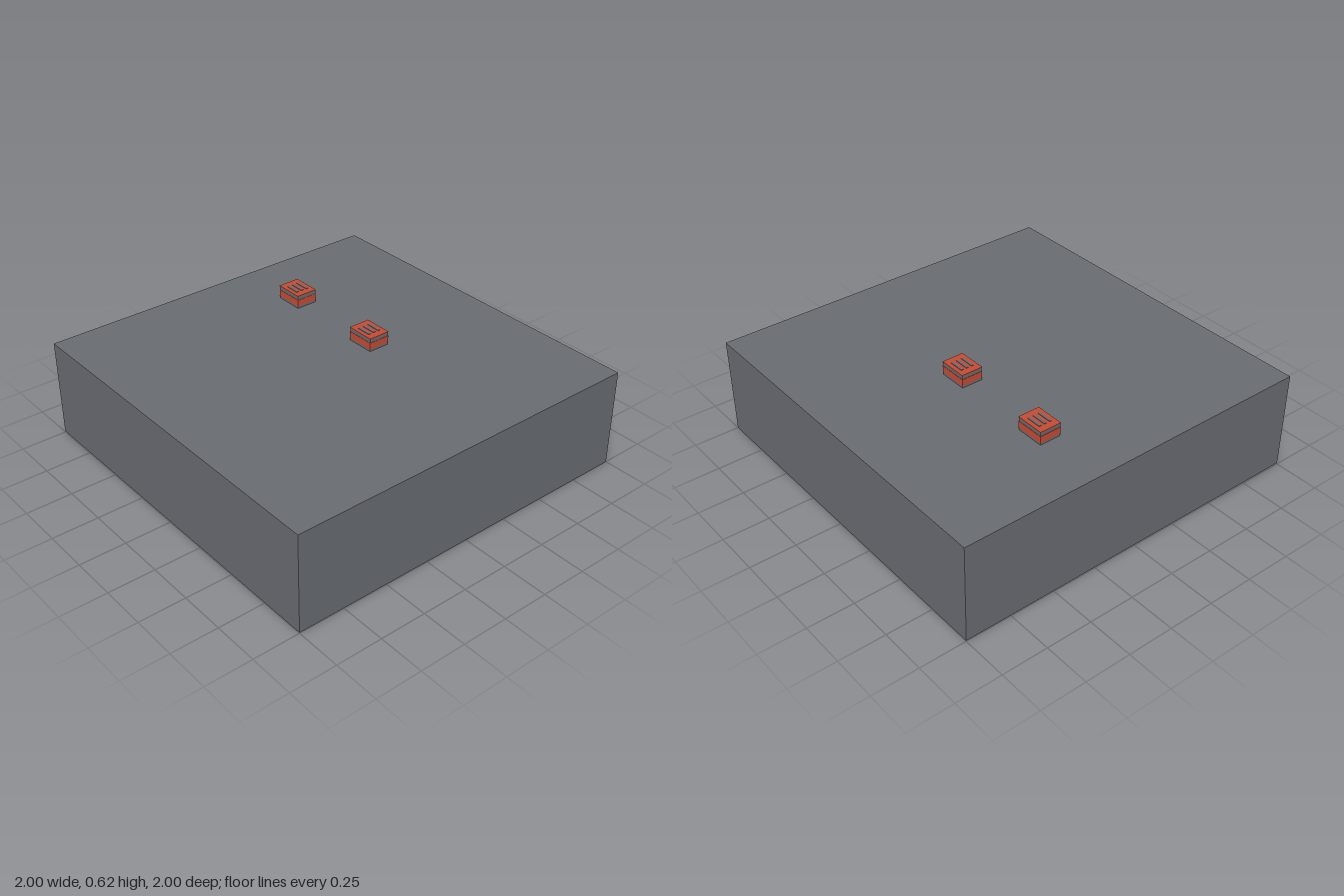
import * as THREE from 'three';

const grey = new THREE.MeshStandardMaterial({ color: 0x686b71, side: THREE.DoubleSide });
grey.name = 'slate grey';
const red = new THREE.MeshStandardMaterial({ color: 0xc44b34 });
red.name = 'brick red';

function box(name, material, w, h, d, x, y, z) {
  const mesh = new THREE.Mesh(new THREE.BoxGeometry(w, h, d), material);
  mesh.name = name;
  mesh.position.set(x, y, z);
  return mesh;
}

// Open-bottomed shell: the box without its lower face, tilted very slightly
function createSlab() {
  const geometry = new THREE.BoxGeometry(2, 0.535, 2).toNonIndexed();
  const open = new THREE.BufferGeometry();
  for (const key of ['position', 'normal']) {
    const a = geometry.attributes[key].array;
    // Each side has six corners; the fourth side is the bottom
    const kept = [...a.slice(0, 54), ...a.slice(72)];
    open.setAttribute(key, new THREE.Float32BufferAttribute(kept, 3));
  }
  const p = open.attributes.position;
  for (let i = 0; i < p.count; i++) {
    const tilt = 0.0015 * (2 - p.getX(i) - p.getZ(i));
    p.setY(i, p.getY(i) + 0.2675 + tilt);
  }
  open.computeVertexNormals();
  const mesh = new THREE.Mesh(open, grey);
  mesh.name = 'slabShell';
  return mesh;
}

// Small brick: grey body, red band around the sides, red cap with three slots
function createBrick(z) {
  const brick = new THREE.Group();
  brick.name = 'brick';
  const w = 0.118, d = 0.155;
  brick.add(box('body', grey, w, 0.07, d, 0, 0.038, 0));
  brick.add(box('sideBand', red, w + 0.003, 0.037, d + 0.003, 0, 0.034, 0));
  brick.add(box('cap', red, w + 0.003, 0.004, d + 0.003, 0, 0.075, 0));
  for (const x of [-0.031, 0, 0.031]) {
    brick.add(box('slot', grey, 0.013, 0.003, 0.082, x, 0.0785, 0));
  }
  brick.position.set(0.249, 0.535, z);
  return brick;
}

export function createModel() {
  const model = new THREE.Group();
  model.name = 'slabWithBricks';
  model.add(createSlab());
  for (const z of [0, -0.584]) model.add(createBrick(z));
  return model;
}
